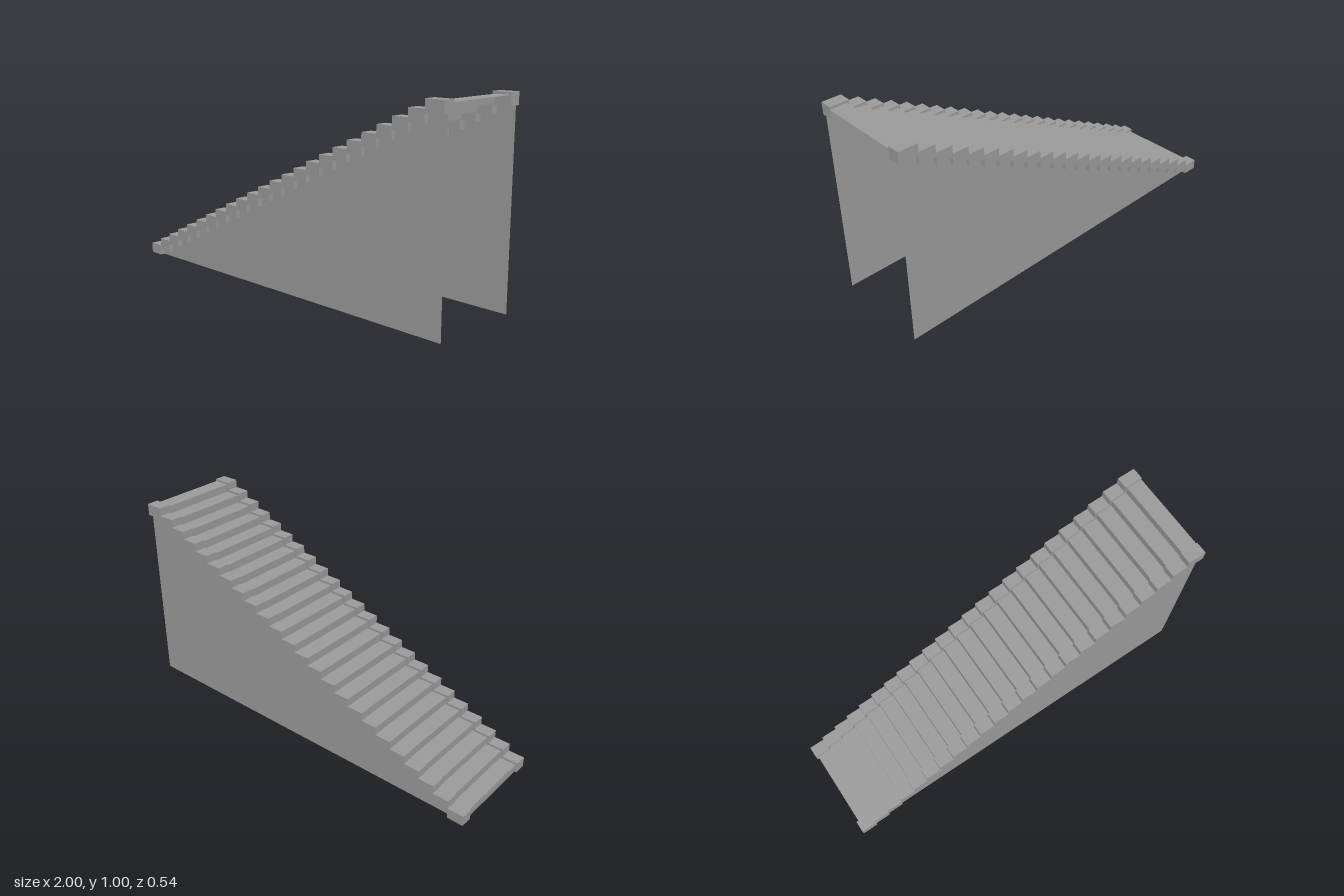
import * as THREE from 'three';

const STEPS = 24;
const RUN = 1.905 / 23;   // depth of one step
const RISE = 0.0413;      // height of one step
const INNER = 0.208;      // half width of the walkway
const CURB_WIDTH = 0.062;
const CURB_HEIGHT = 0.06;
const WALL_Z = 0.247;

const darkGrey = new THREE.MeshStandardMaterial({ color: 0x9b9b9b, flatShading: true });
const darkGreySheet = new THREE.MeshStandardMaterial({ color: 0x9b9b9b, flatShading: true, side: THREE.DoubleSide });

const stepX = (i) => (i >= STEPS ? 1 : -1 + i * RUN);

function addMesh(group, name, geometry, material) {
  const mesh = new THREE.Mesh(geometry, material);
  mesh.name = name;
  group.add(mesh);
  return mesh;
}

// Open folded sheet of risers and treads
function stairSheet() {
  const setback = 0.011;
  const profile = [];
  for (let i = 0; i < STEPS; i++) {
    const x = stepX(i) + setback;
    profile.push([x, i * RISE], [x, (i + 1) * RISE]);
  }
  profile.push([1, STEPS * RISE]);

  const positions = [];
  for (let i = 0; i < profile.length - 1; i++) {
    const [x0, y0] = profile[i];
    const [x1, y1] = profile[i + 1];
    const a = [x0, y0, INNER], b = [x0, y0, -INNER];
    const c = [x1, y1, -INNER], d = [x1, y1, INNER];
    positions.push(...a, ...d, ...c, ...a, ...c, ...b);
  }
  const geometry = new THREE.BufferGeometry();
  geometry.setAttribute('position', new THREE.Float32BufferAttribute(positions, 3));
  geometry.computeVertexNormals();
  return geometry;
}

// Stepped curb: one block per step, joined into a single outline
function curbGeometry() {
  const top = [], bottom = [];
  for (let i = 0; i < STEPS; i++) {
    const yTop = (i + 1) * RISE + 0.012;
    const yBottom = Math.max(0, yTop - CURB_HEIGHT);
    for (const x of [stepX(i), stepX(i + 1)]) {
      top.push(new THREE.Vector2(x, yTop));
      bottom.push(new THREE.Vector2(x, yBottom));
    }
  }
  const shape = new THREE.Shape([...bottom, ...top.reverse()]);
  return new THREE.ExtrudeGeometry(shape, { depth: CURB_WIDTH, bevelEnabled: false });
}

// Thin triangular side wall, its slope hidden inside the curb
function wallGeometry() {
  return new THREE.ShapeGeometry(new THREE.Shape([
    new THREE.Vector2(-1, 0),
    new THREE.Vector2(1, 0),
    new THREE.Vector2(1, 0.995),
  ]));
}

export function createModel() {
  const model = new THREE.Group();
  model.name = 'staircase';

  addMesh(model, 'stepsAndRisers', stairSheet(), darkGreySheet);

  // Curb and wall on each side
  for (const [name, side] of [['front', 1], ['back', -1]]) {
    const curb = addMesh(model, name + 'Curb', curbGeometry(), darkGrey);
    curb.position.z = side > 0 ? INNER : -INNER - CURB_WIDTH;
    const wall = addMesh(model, name + 'Wall', wallGeometry(), darkGreySheet);
    wall.position.z = side * WALL_Z;
  }
  return model;
}
